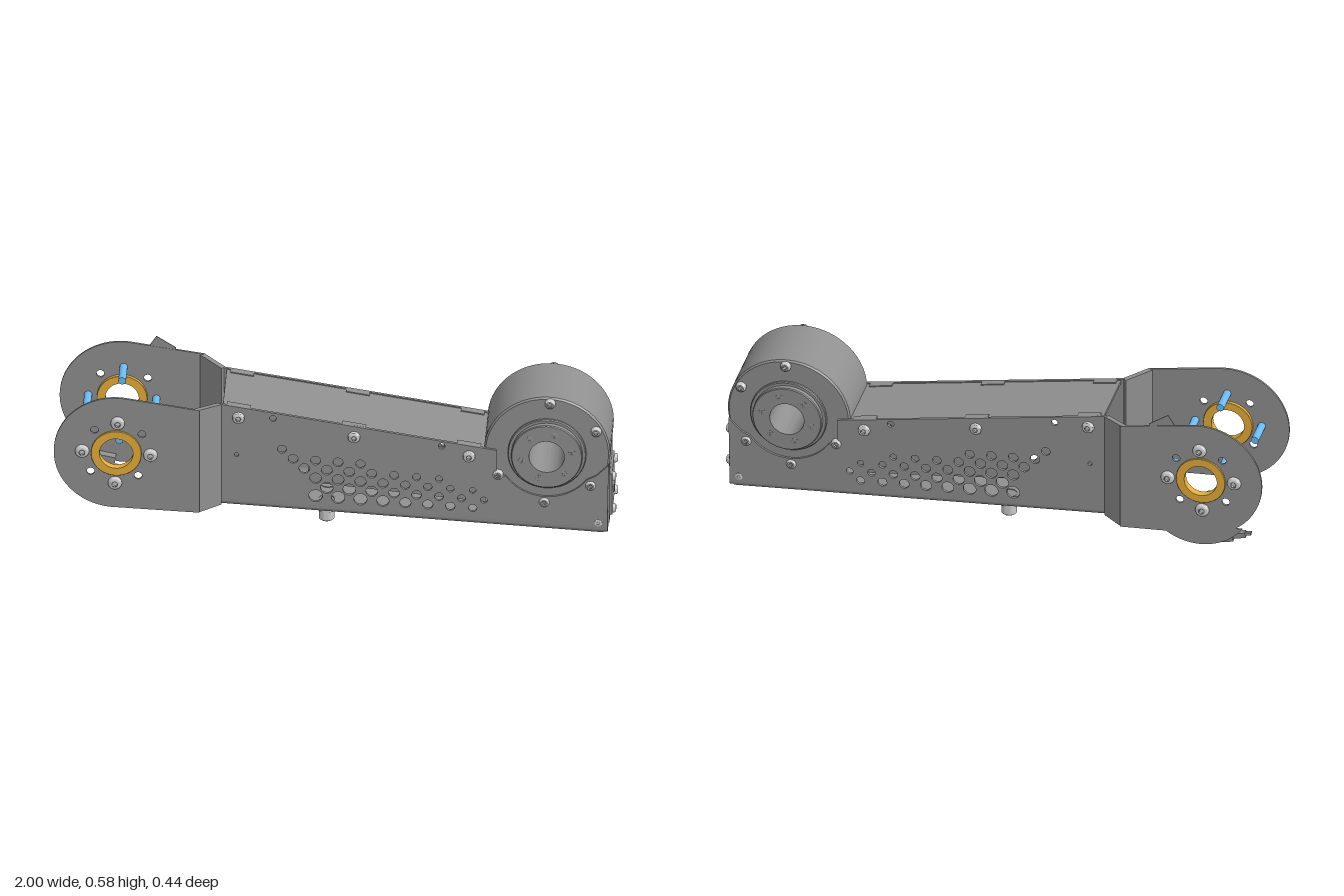
import * as THREE from 'three';
import { toCreasedNormals } from 'three/addons/utils/BufferGeometryUtils.js';

const mat = (color) => new THREE.MeshStandardMaterial({ color, side: THREE.DoubleSide });
const EAR = [-0.777, 0.336], DRUM = [0.755, 0.336];
const bottomY = (x) => 0.0715 - 0.0588 * (x + 0.035);
const topY = (x) => 0.505 - 0.1625 * (x + 0.41);

export function createModel() {
  const model = new THREE.Group();
  const dark = mat(0x909090), light = mat(0xcccccc), gold = mat(0xe6ae3c), blue = mat(0x6cbcf4), brown = mat(0xb8947f);

  const add = (name, geo, material = dark, x = 0, y = 0, z = 0) => {
    const m = new THREE.Mesh(geo, material);
    m.name = name;
    m.position.set(x, y, z);
    model.add(m);
    return m;
  };
  const box = (name, w, h, d, x, y, z) => add(name, new THREE.BoxGeometry(w, h, d), dark, x, y, z);
  const lathe = (pts, seg = 24) =>
    toCreasedNormals(new THREE.LatheGeometry(pts.map((p) => new THREE.Vector2(...p)), seg), 0.6);
  // Ring along z with lightly bevelled edges
  const ring = (name, ro, ri, z0, z1, [x, y], material, b = 0.003) =>
    add(name, lathe([[ri, z0], [ro - b, z0], [ro, z0 + b], [ro, z1 - b], [ro - b, z1], [ri, z1], [ri, z0]], 64)
      .rotateX(Math.PI / 2), material, x, y, 0);
  const sheet = (shape, depth, z) =>
    toCreasedNormals(new THREE.ExtrudeGeometry(shape, { depth, bevelEnabled: false, curveSegments: 32 })
      .translate(0, 0, z - depth / 2), 0.5);
  const punch = (shape, x, y, r) => shape.holes.push(new THREE.Path().absarc(x, y, r, 0, Math.PI * 2, true));

  // Domed screw head with a hexagonal socket, pointing along dir
  const up = new THREE.Vector3(0, 1, 0);
  const bolt = (name, r, h, pos, dir, material = light) => {
    const head = lathe([[r, 0], [r, h * 0.4], [r * 0.9, h * 0.75], [r * 0.65, h], [r * 0.42, h]], 20);
    const socket = lathe([[r * 0.42, h], [r * 0.42, h * 0.4], [0, h * 0.4]], 6);
    for (const g of [head, socket])
      add(name, g, material, ...pos).quaternion.setFromUnitVectors(up, new THREE.Vector3(...dir));
  };

  // Fork ear outline
  const ear = new THREE.Shape();
  ear.moveTo(-0.48, 0.099);
  ear.lineTo(EAR[0], 0.113);
  ear.absarc(EAR[0], EAR[1], 0.223, -Math.PI / 2, 1.41, true);
  ear.lineTo(-0.48, 0.516);
  punch(ear, ...EAR, 0.08);
  for (let i = 0; i < 4; i++) {
    const a = Math.PI / 4 + i * Math.PI / 2 - 0.08;
    punch(ear, EAR[0] + 0.12 * Math.cos(a), EAR[1] + 0.12 * Math.sin(a), 0.014);
  }

  // Perforated side panel outline
  const panel = new THREE.Shape();
  panel.moveTo(-0.41, bottomY(-0.41) + 0.02);
  panel.lineTo(0.95, bottomY(0.95) + 0.02);
  panel.lineTo(0.97, 0.045);
  panel.lineTo(0.975, 0.295);
  panel.lineTo(0.93, 0.25);
  panel.absarc(...DRUM, 0.175, -0.63, -2.57, true);
  panel.lineTo(0.575, 0.241);
  panel.lineTo(0.575, topY(0.575));
  panel.lineTo(-0.41, 0.505);
  // Staggered vent holes that shrink towards the edges of the field
  for (let row = 0; row < 7; row++) {
    for (let i = 0; i < 11; i++) {
      const x = -0.23 + 0.08 * i - (row % 2 ? 0.04 : 0);
      const y = 0.14 + 0.036 * row - 0.06 * (x + 0.07);
      if (x < -0.08 - 0.036 * (row - 0.2) || x > 0.53) continue;
      if (y > 0.335 - 0.18 * (x + 0.22)) continue;
      punch(panel, x, y, Math.max(0.011, 0.024 - 0.021 * Math.max(0, x - 0.05) - 0.0016 * row));
    }
  }
  punch(panel, -0.352, 0.3, 0.008);
  punch(panel, -0.222, 0.452, 0.012);
  punch(panel, 0.38, 0.357, 0.012);

  for (const s of [1, -1]) {
    add('forkEar', sheet(ear, 0.008, s * 0.203));
    add('sidePanel', sheet(panel, 0.01, s * 0.131));

    // Slanted bend joining ear and panel
    const bend = new THREE.BoxGeometry(1, 1, 0.012);
    const p = bend.attributes.position;
    for (let i = 0; i < p.count; i++) {
      const fork = p.getX(i) < 0, high = p.getY(i) > 0;
      const inner = p.getZ(i) * s < 0 ? 0.014 : 0;
      p.setXYZ(i, (fork ? -0.485 : -0.405) - inner, high ? (fork ? 0.517 : 0.504) : (fork ? 0.099 : 0.095),
        p.getZ(i) + s * (fork ? 0.201 : 0.13));
    }
    bend.computeVertexNormals();
    add('forkBend', bend);

    // Bearing ring, bolts and standoffs of the ear
    ring('bearingRing', 0.09, 0.06, s * 0.2 - 0.014, s * 0.2 + 0.014, EAR, gold, 0.001);
    for (let i = 0; i < 4; i++) {
      const a = i * Math.PI / 2 - 0.04;
      const x = EAR[0] + 0.122 * Math.cos(a), y = EAR[1] + 0.122 * Math.sin(a);
      bolt('earBolt', 0.025, 0.015, [x, y, s * 0.207], [0, 0, s]);
      add('standoff', new THREE.CylinderGeometry(0.014, 0.014, 0.105, 16).rotateX(Math.PI / 2), blue, x, y, s * 0.148);
    }

    // Cover bolts with the folded tabs they hold
    for (const x of [-0.345, 0.067, 0.477]) {
      bolt('coverBolt', 0.022, 0.014, [x, topY(x) - 0.042, s * 0.136], [0, 0, s]);
      box('coverTab', 0.085, 0.006, 0.02, x, topY(x) - 0.003, s * 0.116).rotation.z = -0.161;
    }
    bolt('cornerBolt', 0.014, 0.003, [0.937, 0.058, s * 0.136], [0, 0, s]);

    // Drum face: flange, raised hub and screws
    ring('drumFlange', 0.14, 0.063, s * 0.13 - 0.008, s * 0.13 + 0.008, DRUM);
    ring('drumHub', 0.127, 0.063, s * 0.142 - 0.016, s * 0.142 + 0.016, DRUM);
    for (let i = 0; i < 6; i++) {
      const a = i * Math.PI / 3 + 0.2;
      bolt('hubScrew', 0.012, 0.002,
        [DRUM[0] + 0.092 * Math.cos(a), DRUM[1] + 0.092 * Math.sin(a), s * 0.158], [0, 0, s], dark);
    }
    for (const [x, y] of [[0.766, 0.539], [0.93, 0.43], [0.91, 0.21], [0.745, 0.138], [0.58, 0.245]])
      bolt('drumBolt', 0.019, 0.016, [x, y, s * 0.128], [0, 0, s]);

    // Cable glands and bottom bolts
    add('cableGland', lathe([[0, 0.003], [0.022, 0.003], [0.028, 0.008], [0.028, 0.04], [0.031, 0.042],
      [0.031, 0.058], [0.028, 0.06], [0.028, 0.085]]), light, -0.035, 0, s * 0.055);
    bolt('bottomBolt', 0.02, 0.011, [0.85, bottomY(0.85), s * 0.06], [0, -1, 0]);

    // End plate screws
    for (const y of [0.083, 0.213]) bolt('endPlateBolt', 0.017, 0.013, [0.985, y, s * 0.066], [1, 0, 0]);
  }

  // Motor drum
  ring('motorDrum', 0.225, 0.063, -0.128, 0.128, DRUM, dark, 0.006);

  // Rounded bottom tray, sloping down to the drum end
  const u = new THREE.Shape();
  u.moveTo(-0.136, 0.03);
  u.lineTo(-0.136, 0.022);
  u.quadraticCurveTo(-0.136, 0, -0.114, 0);
  u.lineTo(0.114, 0);
  u.quadraticCurveTo(0.136, 0, 0.136, 0.022);
  u.lineTo(0.136, 0.03);
  u.lineTo(0.126, 0.03);
  u.quadraticCurveTo(0.126, 0.01, 0.106, 0.01);
  u.lineTo(-0.106, 0.01);
  u.quadraticCurveTo(-0.126, 0.01, -0.126, 0.03);
  const tray = new THREE.ExtrudeGeometry(u, { depth: 1.365, bevelEnabled: false, curveSegments: 10 })
    .rotateY(Math.PI / 2).translate(-0.41, 0, 0);
  const tp = tray.attributes.position;
  for (let i = 0; i < tp.count; i++) tp.setY(i, tp.getY(i) + bottomY(tp.getX(i)));
  add('bottomTray', toCreasedNormals(tray, 0.5));
  box('glandPlate', 0.12, 0.008, 0.2, -0.035, 0.068, 0).rotation.z = -0.0588;

  // Upturned end of the tray with a rolled lower edge
  const lip = new THREE.Shape();
  lip.moveTo(-0.136, 0.092);
  lip.lineTo(-0.136, 0.036);
  lip.quadraticCurveTo(-0.136, 0.018, -0.118, 0.018);
  lip.lineTo(0.118, 0.018);
  lip.quadraticCurveTo(0.136, 0.018, 0.136, 0.036);
  lip.lineTo(0.136, 0.092);
  const lipGeo = new THREE.ExtrudeGeometry(lip, { depth: 0.018, bevelEnabled: false, curveSegments: 10 });
  add('trayEnd', toCreasedNormals(lipGeo.rotateY(Math.PI / 2), 0.5), dark, 0.953, 0, 0);
  add('trayEndRoll', new THREE.CylinderGeometry(0.012, 0.012, 0.236, 20).rotateX(Math.PI / 2), dark, 0.957, 0.0255, 0);

  // Sloping top cover and internal board
  box('topCover', 0.985, 0.008, 0.254, 0.085, topY(0.085) - 0.008, 0).rotation.z = -0.161;
  box('internalBoard', 0.64, 0.2, 0.01, 0.22, 0.19, 0).rotation.z = -0.1;

  // End wall, connector plate and shaft
  box('endWall', 0.012, 0.26, 0.2, 0.97, 0.172, 0);
  box('endPlate', 0.012, 0.167, 0.17, 0.979, 0.1485, 0);
  const collar = lathe([[0.021, 0], [0.032, 0], [0.032, 0.006], [0.021, 0.006], [0.021, 0]], 32).rotateZ(-Math.PI / 2);
  add('shaftCollar', collar, dark, 0.984, 0.148, 0);
  add('shaft', new THREE.CylinderGeometry(0.021, 0.021, 0.012, 32).rotateZ(Math.PI / 2), brown, 0.983, 0.148, 0);

  // Lower bulge and upper tab of the rear ear
  add('rearBulge', sheet(new THREE.Shape().absarc(-0.765, 0.27, 0.202, Math.PI * 1.2, Math.PI * 1.8, false), 0.004, -0.202));
  const tab = new THREE.Shape([[-0.69, 0.53], [-0.6, 0.5], [-0.585, 0.54], [-0.655, 0.585]]
    .map((q) => new THREE.Vector2(...q)));
  add('rearTab', sheet(tab, 0.004, -0.202));

  // Cable connector on the inside of the rear ear
  box('connectorBody', 0.09, 0.03, 0.03, -0.845, 0.096, -0.181).rotation.z = -0.2;
  box('connectorPlug', 0.06, 0.02, 0.024, -0.905, 0.112, -0.178).rotation.z = -0.2;
  for (const z of [-0.185, -0.172])
    add('connectorLead', new THREE.CylinderGeometry(0.005, 0.005, 0.04, 8).rotateZ(Math.PI / 2 - 0.2), dark, -0.935, 0.12, z);

  return model;
}
